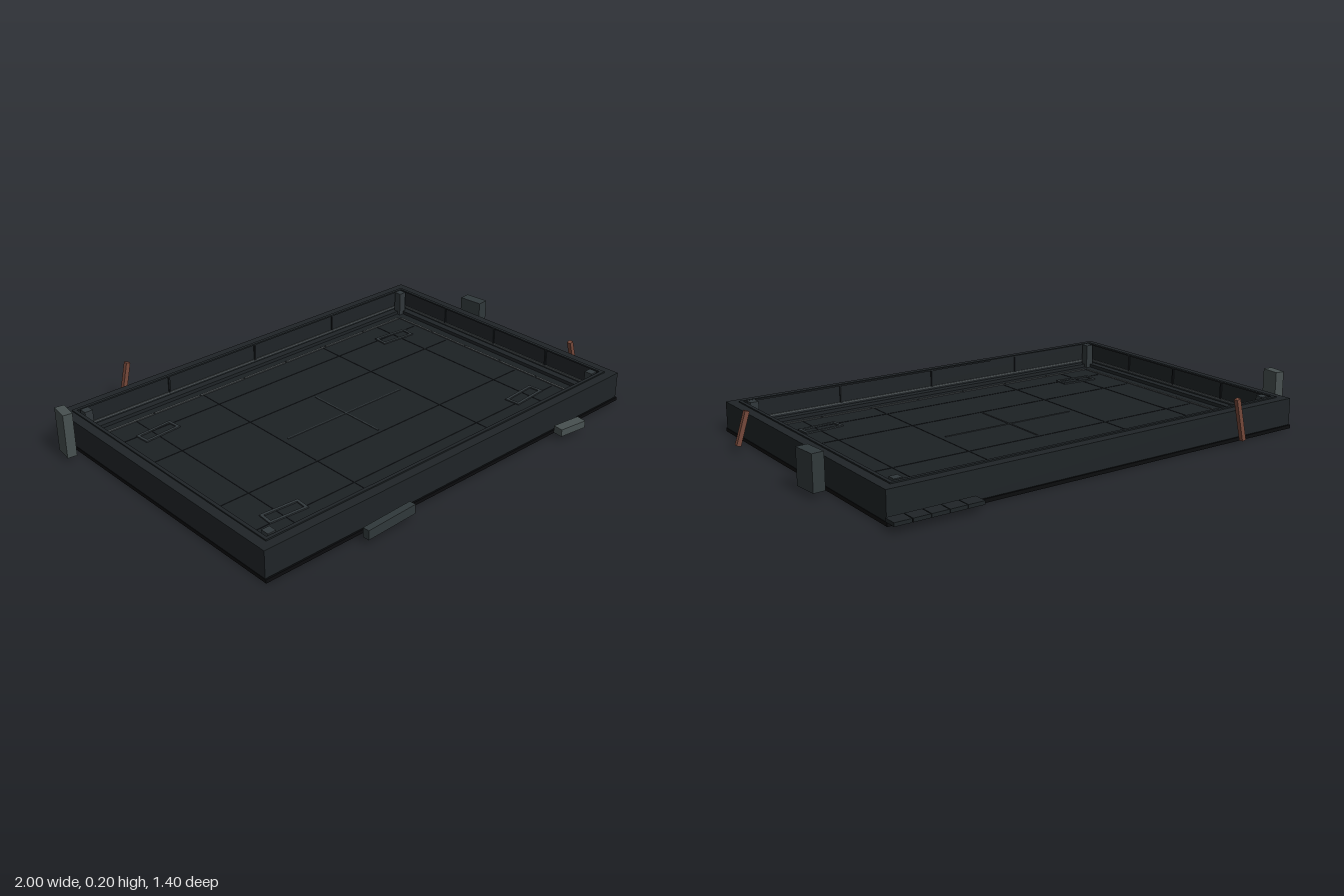
import * as THREE from 'three';

const mat = (color, roughness = 0.9) => new THREE.MeshStandardMaterial({ color, roughness });
const M = {
  base: mat(0x0a0b0d), wall: mat(0x1f2427), floor: mat(0x1c2124), seam: mat(0x171b1e),
  trim: mat(0x4a5052), mark: mat(0x30373a), slab: mat(0x30383a), block: mat(0x475050),
  copper: mat(0x75483a),
};

function box(parent, name, size, pos, material, rotY = 0, rotZ = 0) {
  const mesh = new THREE.Mesh(new THREE.BoxGeometry(...size), material);
  mesh.name = name;
  mesh.position.set(...pos);
  mesh.rotation.set(0, rotY, rotZ);
  parent.add(mesh);
  return mesh;
}

// Rectangular outline of four thin strips, lying flat
function frame(parent, name, w, d, t, h, y, material) {
  const g = new THREE.Group();
  g.name = name;
  for (const s of [-1, 1]) {
    box(g, name + 'Long', [w, h, t], [0, y, s * (d - t) / 2], material);
    box(g, name + 'Short', [t, h, d - 2 * t], [s * (w - t) / 2, y, 0], material);
  }
  parent.add(g);
  return g;
}

export function createModel() {
  const model = new THREE.Group();
  model.name = 'arenaTray';
  const tray = new THREE.Group();
  tray.name = 'tray';
  tray.position.set(-0.005, 0, -0.005);
  model.add(tray);

  // Base plate and floor
  box(tray, 'basePlate', [1.84, 0.014, 1.26], [0, 0.007, 0], M.base);
  box(tray, 'floor', [1.76, 0.012, 1.18], [0, 0.018, 0], M.floor);

  // Walls, with a raised cap strip and a low inner skirting
  frame(tray, 'wall', 1.836, 1.246, 0.046, 0.108, 0.068, M.wall);
  frame(tray, 'wallCap', 1.76, 1.17, 0.014, 0.006, 0.124, M.wall);
  frame(tray, 'wallTrim', 1.748, 1.158, 0.006, 0.006, 0.05, M.trim);
  frame(tray, 'skirting', 1.744, 1.154, 0.03, 0.016, 0.03, M.wall);

  // Inner wall ribs
  for (const s of [-1, 1]) {
    for (const x of [-0.44, 0, 0.44])
      box(tray, 'wallRib', [0.008, 0.07, 0.006], [x, 0.085, s * 0.575], M.seam);
    for (const z of [-0.29, 0, 0.29])
      box(tray, 'wallRib', [0.006, 0.07, 0.008], [s * 0.87, 0.085, z], M.seam);
  }

  // Corner posts and floor pads
  for (const sx of [-1, 1]) for (const sz of [-1, 1]) {
    box(tray, 'cornerPost', [0.034, 0.104, 0.034], [sx * 0.838, 0.076, sz * 0.548], M.mark);
    const pad = frame(tray, 'floorPad', 0.165, 0.066, 0.012, 0.006, 0.026, M.mark);
    pad.position.set(sx * 0.635, 0, sz * 0.378);
    pad.rotation.y = sx * sz * 0.08;
  }

  // Border line on the floor, broken into short strips
  for (const s of [-1, 1]) {
    for (let i = 0; i < 7; i++)
      box(tray, 'borderStrip', [0.219, 0.004, 0.01], [(i - 3) * 0.226, 0.026, s * 0.508], M.trim);
    for (let i = 0; i < 5; i++)
      box(tray, 'borderStrip', [0.01, 0.004, 0.194], [s * 0.798, 0.026, (i - 2) * 0.202], M.trim);
  }

  // Floor seams and centre cross
  for (const x of [-0.65, -0.325, 0.325, 0.65])
    box(tray, 'floorSeam', [0.004, 0.002, 1.04], [x, 0.0245, 0], M.seam);
  for (const z of [-0.4, -0.2, 0.2, 0.4])
    box(tray, 'floorSeam', [1.56, 0.002, 0.004], [0, 0.0245, z], M.seam);
  box(tray, 'centreLine', [0.6, 0.003, 0.006], [0, 0.025, 0], M.mark);
  box(tray, 'centreLine', [0.006, 0.003, 0.37], [0, 0.025, 0], M.mark);

  // Loose pieces standing around the tray
  const debris = new THREE.Group();
  debris.name = 'debris';
  model.add(debris);
  box(debris, 'tallBlock', [0.038, 0.18, 0.078], [-0.975, 0.11, -0.487], M.block, -0.14);
  box(debris, 'sideSlab', [0.048, 0.14, 0.104], [0.97, 0.09, -0.222], M.slab, 0.08);
  box(debris, 'frontSlab', [0.23, 0.038, 0.028], [-0.425, 0.041, 0.675], M.slab, 0.04);
  box(debris, 'frontBlock', [0.125, 0.03, 0.042], [0.547, 0.035, 0.672], M.block, -0.12);
  box(debris, 'backRod', [0.018, 0.172, 0.018], [-0.587, 0.105, -0.684], M.copper, 0, -0.23);
  box(debris, 'sideRod', [0.018, 0.136, 0.018], [0.966, 0.09, 0.345], M.copper, 0, 0.31);

  // Flat grate made of short plates
  for (let i = 0; i < 5; i++)
    box(debris, 'gratePlate', [0.066, 0.014, 0.056], [0.62 + i * 0.069, 0.032, -0.675], M.wall);
  box(debris, 'grateCore', [0.34, 0.009, 0.05], [0.758, 0.031, -0.675], M.base);
  return model;
}
